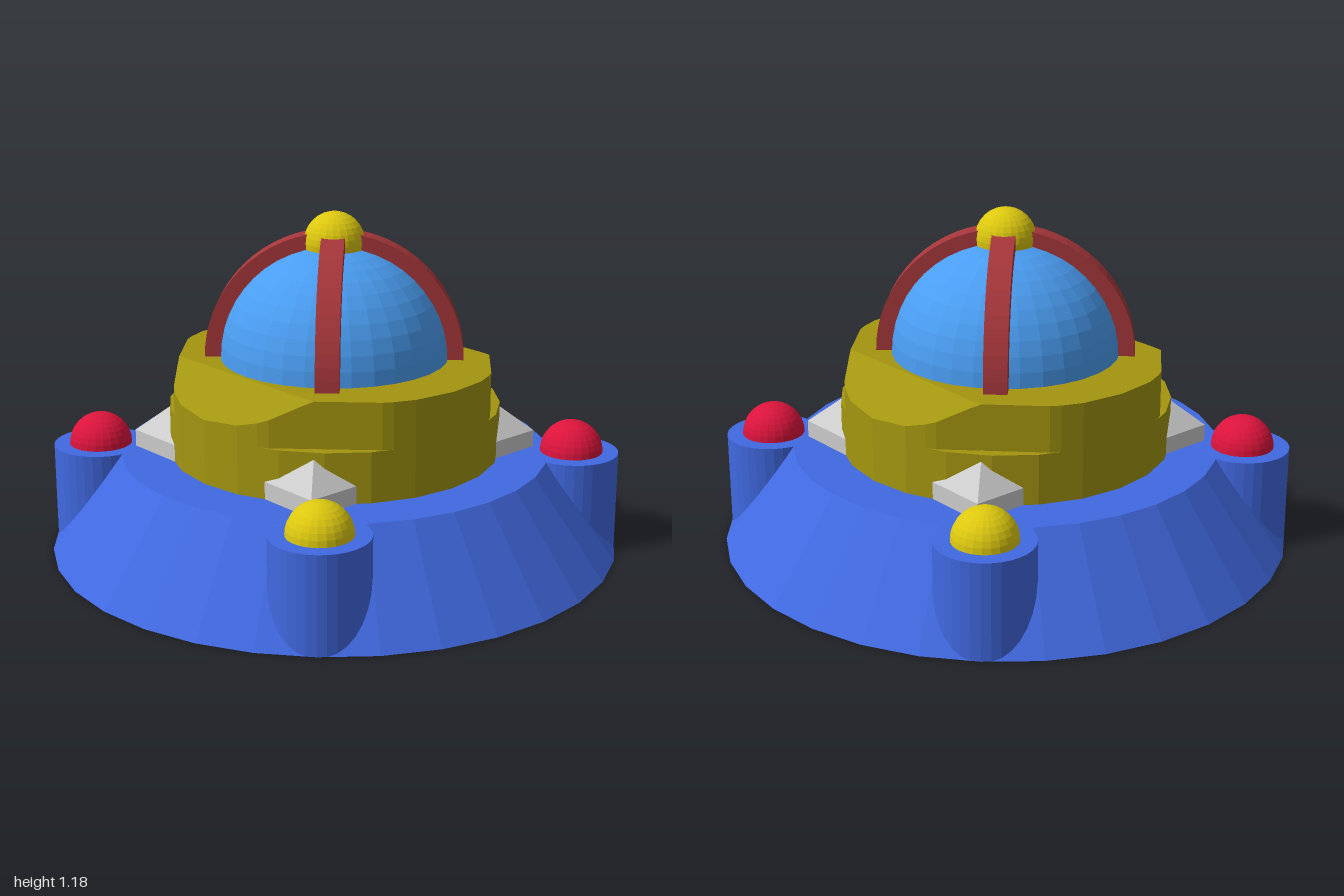
import * as THREE from 'three';

const material = (color) => new THREE.MeshStandardMaterial({ color, flatShading: true });
const blue = material(0x4169e1), olive = material(0xa39510), glass = material(0x4a9df2);
const yellow = material(0xdcc80f), red = material(0xdc143c), brown = material(0xa5363a), grey = material(0xcccccc);

const DECK = 0.335, TOP = 0.67, LEDGE = 0.51;

// Stack of closed rings; each ring maps an angle to [radius, height]
function loftRings(rings, n) {
  const pos = [], idx = [];
  for (const ring of rings) {
    for (let i = 0; i < n; i++) {
      const a = (i / n) * Math.PI * 2, [r, y] = ring(a);
      pos.push(r * Math.sin(a), y, r * Math.cos(a));
    }
  }
  for (let k = 0; k < rings.length - 1; k++) {
    for (let i = 0; i < n; i++) {
      const a = k * n + i, b = k * n + (i + 1) % n;
      idx.push(a, b, b + n, a, b + n, a + n);
    }
  }
  const g = new THREE.BufferGeometry();
  g.setAttribute('position', new THREE.Float32BufferAttribute(pos, 3));
  g.setIndex(idx);
  g.computeVertexNormals();
  return g;
}

// Faceted drum: four flat cuts above a ledge, two opposite corners bevelled
function drumGeometry() {
  const sides = 24, step = Math.PI * 2 / sides;
  const outer = (a) => 0.58 * Math.cos(step / 2) / Math.cos((a % step) - step / 2);
  const cut = (a) => Math.min(outer(a), 0.54 / Math.max(Math.abs(Math.sin(a)), Math.abs(Math.cos(a))));
  const toward = (a) => Math.abs(Math.cos(a + Math.PI / 4)); // bevels face (-x,+z) and (+x,-z)
  const crease = 0.41, slope = 0.65;
  return loftRings([
    () => [0, DECK],
    (a) => [outer(a), DECK],
    (a) => [outer(a), LEDGE],
    (a) => [cut(a), LEDGE],
    (a) => [cut(a), TOP - slope * Math.max(0, cut(a) * toward(a) - crease)],
    (a) => [Math.min(cut(a), crease / Math.max(toward(a), 0.01)), TOP],
    () => [0, TOP],
  ], 96);
}

// Half-ring arch standing on the drum
function archGeometry() {
  const s = new THREE.Shape();
  s.absarc(0, 0, 0.45, 0, Math.PI, false);
  s.absarc(0, 0, 0.385, Math.PI, 0, true);
  return new THREE.ExtrudeGeometry(s, { depth: 0.08, bevelEnabled: false, curveSegments: 16 })
    .translate(0, 0, -0.04);
}

export function createModel() {
  const group = new THREE.Group();
  const add = (name, geometry, mat, x = 0, y = 0, z = 0) => {
    const m = new THREE.Mesh(geometry, mat);
    m.name = name;
    m.position.set(x, y, z);
    group.add(m);
    return m;
  };

  // Sloping base
  add('base', new THREE.CylinderGeometry(0.75, 1, DECK, 32), blue, 0, DECK / 2, 0);
  add('drum', drumGeometry(), olive);

  // Dome, crossing arches and top knob
  add('dome', new THREE.SphereGeometry(0.397, 32, 12, 0, Math.PI * 2, 0, Math.PI / 2), glass, 0, TOP, 0);
  const arch = archGeometry();
  add('archAcross', arch, brown, 0, TOP - 0.005, 0);
  add('archLengthwise', arch, brown, 0, TOP - 0.005, 0).rotation.y = Math.PI / 2;
  add('knob', new THREE.SphereGeometry(0.105, 24, 16), yellow, 0, 1.075, 0);

  // Pods with lamps on the four sides
  const pod = new THREE.CylinderGeometry(0.165, 0.165, DECK, 32);
  const lamp = new THREE.SphereGeometry(0.11, 24, 16);
  for (const [x, z] of [[1, 0], [-1, 0], [0, 1], [0, -1]]) {
    add('pod', pod, blue, x * 0.835, DECK / 2, z * 0.835);
    add('lamp', lamp, x ? red : yellow, x * 0.835, DECK, z * 0.835);
  }

  // Pointed studs set corner-out against the drum
  const stud = new THREE.CylinderGeometry(0.168, 0.168, 0.06, 4);
  const studPoint = new THREE.ConeGeometry(0.168, 0.12, 4);
  for (const s of [1, -1]) {
    for (const [x, z] of [[-0.035, 0.535], [0.535, -0.035]]) {
      add('stud', stud, grey, s * x, DECK + 0.03, s * z);
      add('studPoint', studPoint, grey, s * x, DECK + 0.12, s * z);
    }
  }
  return group;
}
